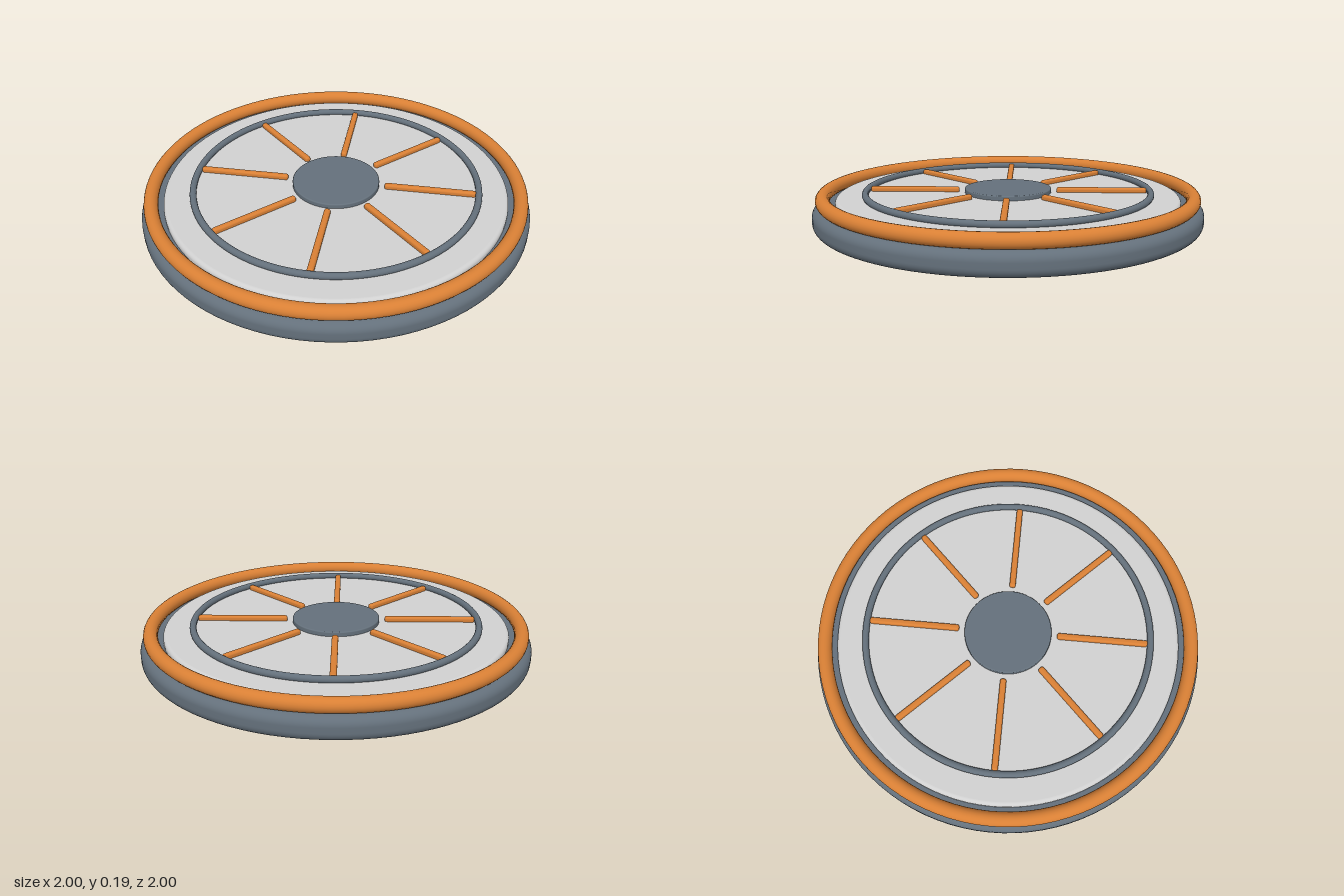
import * as THREE from 'three';
import { RoundedBoxGeometry } from 'three/addons/geometries/RoundedBoxGeometry.js';

const material = (name, color) => {
  const m = new THREE.MeshStandardMaterial({ color });
  m.name = name;
  return m;
};

// Solid disc with rounded rims: bottom and top height, outer radius, corner radii
function roundedDisc(y0, y1, radius, lower, upper) {
  const pts = [];
  const steps = 8;
  for (let i = 0; i <= steps; i++) {
    const a = (i / steps) * Math.PI / 2;
    pts.push(new THREE.Vector2(radius - lower + lower * Math.sin(a), y0 + lower - lower * Math.cos(a)));
  }
  for (let i = 0; i <= steps; i++) {
    const a = (i / steps) * Math.PI / 2;
    pts.push(new THREE.Vector2(radius - upper + upper * Math.cos(a), y1 - upper + upper * Math.sin(a)));
  }
  const group = new THREE.Group();
  const rim = new THREE.LatheGeometry(pts, 96);
  const top = new THREE.CircleGeometry(radius - upper, 96).rotateX(-Math.PI / 2).translate(0, y1, 0);
  const bottom = new THREE.CircleGeometry(radius - lower, 96).rotateX(Math.PI / 2).translate(0, y0, 0);
  return { group, parts: { Rim: rim, Top: top, Bottom: bottom } };
}

export function createModel() {
  const slate = material('slate', 0x64707b);
  const orange = material('orange', 0xd98035);
  const pale = material('pale grey', 0xd0d0d0);
  const model = new THREE.Group();
  model.name = 'spokedDisc';

  const addDisc = (name, mat, ...dims) => {
    const { group, parts } = roundedDisc(...dims);
    group.name = name;
    for (const [part, geometry] of Object.entries(parts)) {
      const mesh = new THREE.Mesh(geometry, mat);
      mesh.name = name + part;
      group.add(mesh);
    }
    model.add(group);
  };
  const addRing = (name, mat, radius, tube, y) => {
    const mesh = new THREE.Mesh(new THREE.TorusGeometry(radius, tube, 20, 96).rotateX(Math.PI / 2), mat);
    mesh.name = name;
    mesh.position.y = y;
    model.add(mesh);
  };

  // Stacked discs
  addDisc('base', slate, 0, 0.117, 1, 0.045, 0.045);
  addDisc('plate', pale, 0.1, 0.15, 0.885, 0.012, 0.02);
  addDisc('hub', slate, 0.14, 0.174, 0.225, 0.006, 0.006);

  // Rings
  addRing('outerRing', orange, 0.945, 0.036, 0.15);
  addRing('innerRing', slate, 0.735, 0.017, 0.162);

  // Eight radial spokes between hub and inner ring
  const spokeGeometry = new RoundedBoxGeometry(0.466, 0.032, 0.032, 4, 0.012);
  spokeGeometry.translate(0.487, 0, 0);
  const spokes = new THREE.Group();
  spokes.name = 'spokes';
  for (let i = 0; i < 8; i++) {
    const spoke = new THREE.Mesh(spokeGeometry, orange);
    spoke.name = 'spoke';
    spoke.position.y = 0.159;
    spoke.rotation.y = i * Math.PI / 4;
    spokes.add(spoke);
  }
  model.add(spokes);
  return model;
}
